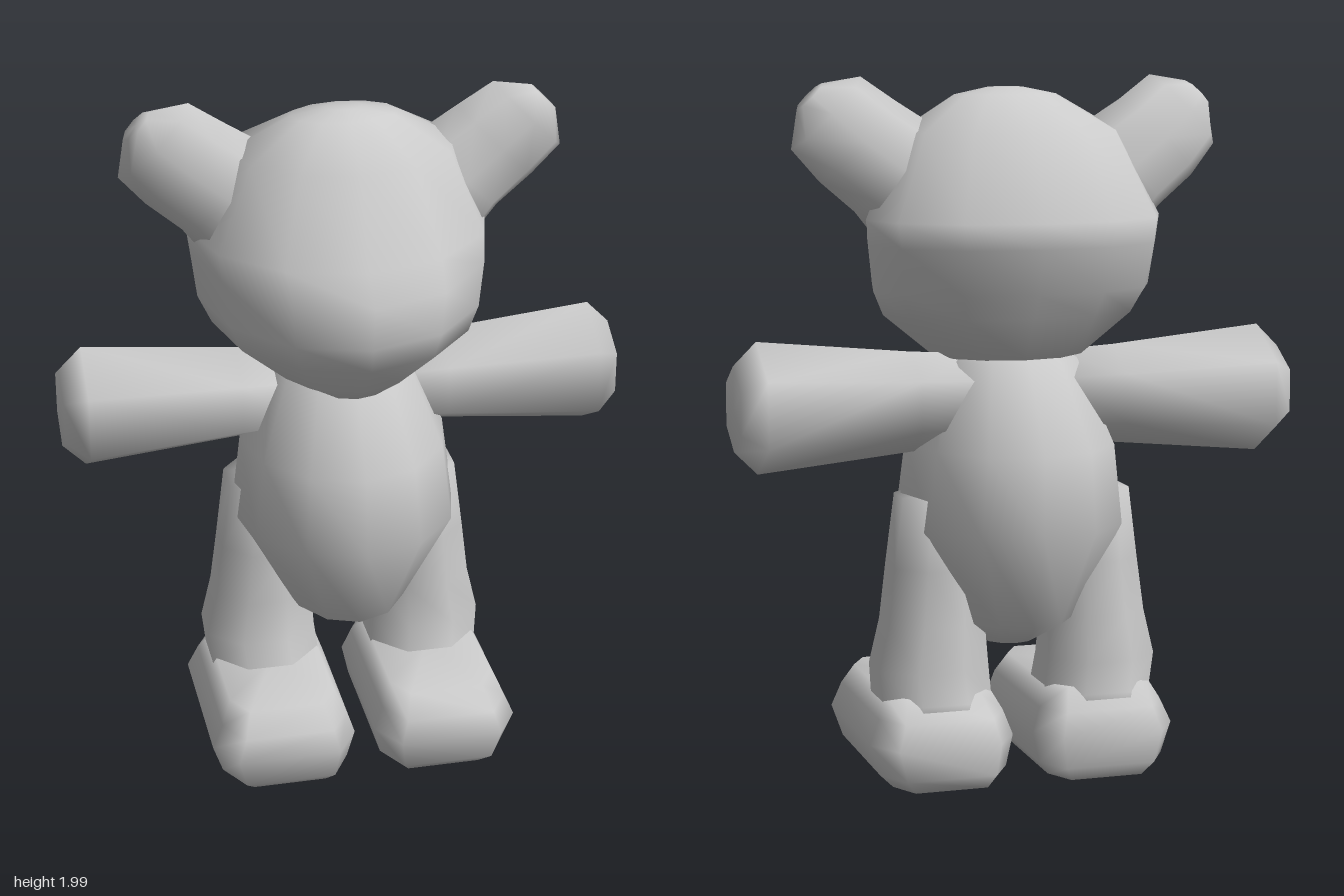
import * as THREE from 'three';

const material = new THREE.MeshStandardMaterial({ color: 0xcccccc });

// Smooth skin over stacked polygon rings, closed at both ends.
// Each section is [y, xMin, xMax, zMin, zMax, zWidest (optional)].
function loft(sections, sides, { turn = 0, power = 1, fit = 1 } = {}) {
  const pos = [], index = [];
  const soften = (v) => Math.sign(v) * Math.min(1, Math.abs(v) / fit) ** power;
  for (const [y, x0, x1, z0, z1, zMid = (z0 + z1) / 2] of sections) {
    for (let i = 0; i < sides; i++) {
      const a = turn + (i / sides) * Math.PI * 2;
      const s = soften(Math.sin(a)), c = soften(Math.cos(a));
      pos.push((x0 + x1) / 2 + (s * (x1 - x0)) / 2, y, zMid + c * (c > 0 ? z1 - zMid : zMid - z0));
    }
  }
  const rows = sections.length;
  for (const r of [0, rows - 1]) {
    const [y, x0, x1, z0, z1] = sections[r];
    pos.push((x0 + x1) / 2, y, (z0 + z1) / 2);
  }
  const bottom = rows * sides, top = bottom + 1, last = (rows - 1) * sides;
  for (let i = 0; i < sides; i++) {
    const j = (i + 1) % sides;
    for (let r = 0; r < rows - 1; r++) {
      const a = r * sides + i, b = r * sides + j;
      index.push(a, b, a + sides, b, b + sides, a + sides);
    }
    index.push(bottom, j, i, top, last + i, last + j);
  }
  const geo = new THREE.BufferGeometry();
  geo.setAttribute('position', new THREE.Float32BufferAttribute(pos, 3));
  geo.setIndex(index);
  geo.computeVertexNormals();
  return geo;
}

// Mirror a geometry across x = 0, keeping its faces outward
function mirrored(geo) {
  const copy = geo.clone();
  const p = copy.attributes.position;
  for (let i = 0; i < p.count; i++) p.setX(i, -p.getX(i));
  const idx = Array.from(copy.index.array);
  for (let i = 0; i < idx.length; i += 3) [idx[i], idx[i + 1]] = [idx[i + 1], idx[i]];
  copy.setIndex(idx);
  copy.computeVertexNormals();
  return copy;
}

export function createModel() {
  const bear = new THREE.Group();
  bear.name = 'bear';

  const add = (name, geo) => {
    const mesh = new THREE.Mesh(geo, material);
    mesh.name = name;
    bear.add(mesh);
  };
  const addPair = (name, geo) => {
    add('left' + name, geo);
    add('right' + name, mirrored(geo));
  };

  // Pear-shaped body, bulging at the belly and back
  add('body', loft([
    [0.38, -0.08, 0.08, -0.12, 0.06],
    [0.46, -0.18, 0.18, -0.29, 0.22],
    [0.73, -0.33, 0.33, -0.385, 0.32],
    [0.96, -0.3, 0.3, -0.385, 0.3],
    [1.2, -0.2, 0.2, -0.24, 0.16],
    [1.24, -0.12, 0.12, -0.15, 0.08],
  ], 12));

  // Head with the muzzle swelling out of the front
  add('head', loft([
    [1.16, -0.1, 0.1, 0.0, 0.18, 0.08],
    [1.21, -0.22, 0.22, -0.22, 0.24, -0.02],
    [1.33, -0.37, 0.37, -0.29, 0.365, -0.05],
    [1.4, -0.405, 0.405, -0.32, 0.38, -0.08],
    [1.53, -0.42, 0.42, -0.385, 0.4, -0.1],
    [1.6, -0.43, 0.43, -0.38, 0.32, -0.1],
    [1.84, -0.32, 0.32, -0.28, 0.22, -0.04],
    [1.94, -0.15, 0.15, -0.1, 0.08, -0.01],
    [1.96, -0.05, 0.05, -0.04, 0.03],
  ], 12));

  // Paddle-shaped ears leaning outward at 45 degrees
  const ear = loft([
    [-0.1, -0.18, 0.16, -0.18, 0.09],
    [0.07, -0.19, 0.14, -0.16, 0.07],
    [0.2, -0.16, 0.15, -0.14, 0.05],
    [0.315, -0.14, 0.14, -0.11, 0.055],
    [0.38, -0.05, 0.05, -0.07, 0.02],
  ], 8);
  ear.rotateZ(-Math.PI / 4).translate(0.3, 1.67, 0);
  addPair('Ear', ear);

  // Six-sided arms, held straight out and widening to the paw
  const arm = loft(
    [[0.1, 0.13], [0.3, 0.142], [0.74, 0.185], [0.805, 0.12]].map(([d, r]) => [d, -r, r, -r, r]),
    6, { turn: Math.PI / 6 });
  arm.rotateZ(-Math.PI / 2).translate(0, 1.087, -0.085);
  addPair('Arm', arm);

  // Legs running up into the body, and blocky bevelled feet
  const octagon = { turn: Math.PI / 8, fit: Math.cos(Math.PI / 8) };
  addPair('Leg', loft([
    [0.15, 0.07, 0.42, -0.26, 0.12],
    [0.24, 0.08, 0.4, -0.23, 0.1],
    [0.33, 0.09, 0.41, -0.225, 0.07],
    [0.46, 0.1, 0.38, -0.215, 0.06],
    [0.62, 0.1, 0.36, -0.205, 0.06],
    [0.82, 0.12, 0.335, -0.2, 0.05],
  ], 8, octagon));
  addPair('Foot', loft([
    [0.0, 0.08, 0.38, -0.25, 0.32],
    [0.04, 0.05, 0.42, -0.275, 0.365],
    [0.13, 0.03, 0.45, -0.28, 0.385],
    [0.2, 0.055, 0.42, -0.26, 0.375],
    [0.26, 0.085, 0.39, -0.2, 0.32],
  ], 8, { ...octagon, power: 0.4 }));

  return bear;
}
